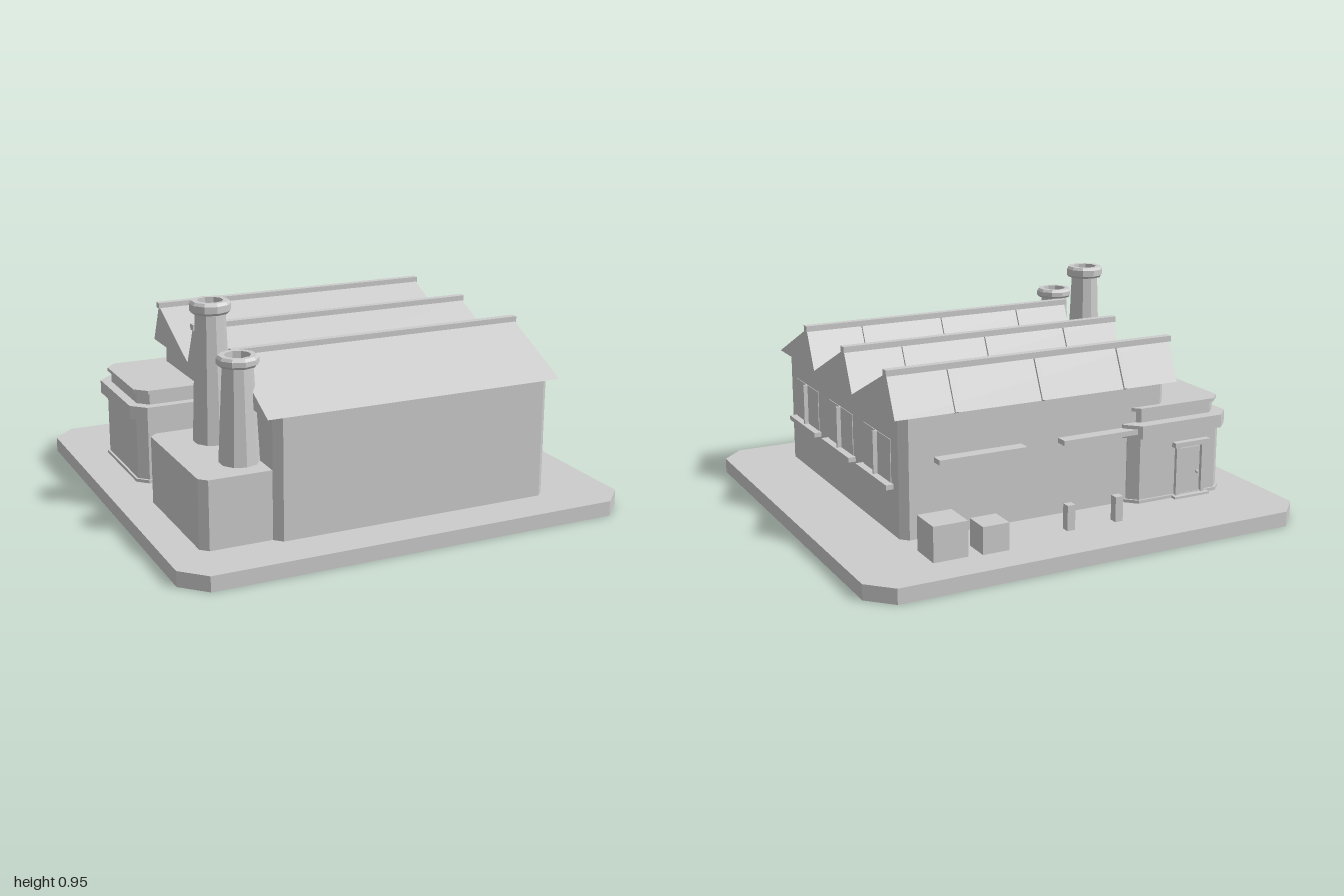
import * as THREE from 'three';

const GROUND = 0.066;

export function createModel() {
  const model = new THREE.Group();
  const grey = new THREE.MeshStandardMaterial({ color: 0xcccccc, flatShading: true, side: THREE.DoubleSide });
  grey.name = 'concrete grey';

  const add = (name, geometry, parent = model) => {
    const mesh = new THREE.Mesh(geometry, grey);
    mesh.name = name;
    parent.add(mesh);
    return mesh;
  };

  // Box given by its extents
  const box = (name, x0, x1, y0, y1, z0, z1, parent) => {
    const g = new THREE.BoxGeometry(x1 - x0, y1 - y0, z1 - z0);
    g.translate((x0 + x1) / 2, (y0 + y1) / 2, (z0 + z1) / 2);
    return add(name, g, parent);
  };

  // Rectangle with chamfered corners c, drawn with z pointing down the page
  const outline = (x0, x1, z0, z1, c) => [
    [x0 + c, -z1], [x1 - c, -z1], [x1, -z1 + c], [x1, -z0 - c],
    [x1 - c, -z0], [x0 + c, -z0], [x0, -z0 - c], [x0, -z1 + c],
  ].map(([x, y]) => new THREE.Vector2(x, y));

  // Upright block with chamfered corners
  const block = (name, x0, x1, y0, y1, z0, z1, c, parent) => {
    const shape = new THREE.Shape(outline(x0, x1, z0, z1, c));
    const g = new THREE.ExtrudeGeometry(shape, { depth: y1 - y0, bevelEnabled: false });
    g.rotateX(-Math.PI / 2).translate(0, y0, 0);
    return add(name, g, parent);
  };

  // Upright wall of no thickness round a chamfered outline, open above and below
  const skirt = (name, x0, x1, y0, y1, z0, z1, c, parent) => {
    const pts = outline(x0, x1, z0, z1, c);
    const pos = [], index = [];
    pts.forEach((p, i) => {
      pos.push(p.x, y0, -p.y, p.x, y1, -p.y);
      const a = 2 * i, b = 2 * ((i + 1) % pts.length);
      index.push(a, b, b + 1, a, b + 1, a + 1);
    });
    const g = new THREE.BufferGeometry();
    g.setAttribute('position', new THREE.Float32BufferAttribute(pos, 3));
    g.setIndex(index);
    g.computeVertexNormals();
    return add(name, g, parent);
  };

  // Ground slab: a tray open underneath
  const slab = new THREE.Group();
  slab.name = 'groundSlab';
  model.add(slab);
  const top = new THREE.ShapeGeometry(new THREE.Shape(outline(-1, 1, -0.955, 0.955, 0.1)));
  add('slabTop', top.rotateX(-Math.PI / 2).translate(0, GROUND - 0.001, 0), slab);
  skirt('slabSides', -1, 1, 0, GROUND - 0.001, -0.955, 0.955, 0.1, slab);
  skirt('officeFooting', -0.84, -0.35, 0, 0.025, -0.585, -0.07, 0.045, slab);
  box('stepFooting', -0.745, -0.565, 0, 0.025, -0.612, -0.57, slab);

  // Main hall
  block('hallWalls', -0.555, 0.693, GROUND, 0.583, -0.531, 0.772, 0.032);

  // Sawtooth roof
  const roof = new THREE.Group();
  roof.name = 'sawtoothRoof';
  model.add(roof);
  const eave = 0.58, ridge = 0.754, period = 0.4475, rise = 0.3675, drop = period - rise;
  const tilt = Math.atan2(drop, ridge - eave);
  const slope = Math.hypot(drop, ridge - eave);
  for (let i = 0; i < 3; i++) {
    const z0 = 0.787 - i * period, zr = z0 - rise, z1 = zr - drop;
    const tooth = new THREE.Shape([[-z0, eave], [-z1, eave], [-zr, ridge]].map(([a, b]) => new THREE.Vector2(a, b)));
    const g = new THREE.ExtrudeGeometry(tooth, { depth: 1.32, bevelEnabled: false });
    g.rotateY(Math.PI / 2).translate(-0.592, 0, 0);
    add('roofTooth', g, roof);
    box('ridgeCap', -0.597, 0.735, 0.745, 0.77, zr - 0.018, zr + 0.015, roof);
    // Glazing bars on the steep back face
    for (const x of [-0.33, 0.065, 0.46]) {
      const bar = add('glazingBar', new THREE.BoxGeometry(0.016, slope, 0.02), roof);
      bar.position.set(x, (eave + ridge) / 2, (zr + z1) / 2);
      bar.rotation.x = tilt;
    }
  }

  // Side windows: pane, centre bar and sill
  for (const z of [0.53, 0.118, -0.288]) {
    const win = new THREE.Group();
    win.name = 'sideWindow';
    model.add(win);
    box('windowPane', 0.69, 0.696, 0.28, 0.468, z - 0.14, z + 0.14, win);
    box('windowBar', 0.69, 0.715, 0.28, 0.468, z - 0.006, z + 0.006, win);
    box('windowSill', 0.685, 0.727, 0.264, 0.285, z - 0.163, z + 0.163, win);
  }

  // Back wall sills, with matching strips under the slab
  for (const x of [-0.218, 0.353]) {
    box('backSill', x - 0.198, x + 0.198, 0.38, 0.402, -0.586, -0.525);
    box('footingStrip', x - 0.18, x + 0.18, 0, 0.02, -0.537, -0.53, slab);
  }

  // Boiler house carrying the chimneys
  block('boilerHouse', -0.853, -0.5, GROUND, 0.357, 0.119, 0.738, 0.032);

  const chimney = (name, z, height, capHeight) => {
    const neck = height - capHeight;
    const profile = [
      [0.083, 0.35], [0.062, neck], [0.077, neck], [0.085, neck + 0.01], [0.085, height - 0.012],
      [0.076, height], [0.054, height], [0.054, height - 0.05], [0, height - 0.05],
    ].map(([r, y]) => new THREE.Vector2(r, y));
    add(name, new THREE.LatheGeometry(profile, 10)).position.set(-0.632, 0, z);
  };
  chimney('tallChimney', 0.295, 0.949, 0.05);
  chimney('shortChimney', 0.585, 0.794, 0.042);

  // Office with stepped flat roof
  const office = new THREE.Group();
  office.name = 'office';
  model.add(office);
  block('officePlinth', -0.84, -0.35, GROUND, 0.08, -0.585, -0.07, 0.045, office);
  block('officeWalls', -0.83, -0.36, GROUND, 0.37, -0.576, -0.08, 0.04, office);
  block('officeCanopy', -0.86, -0.335, 0.36, 0.418, -0.602, -0.05, 0.06, office);
  block('officeUpper', -0.82, -0.375, 0.415, 0.475, -0.548, -0.09, 0.045, office);
  block('officeRoof', -0.835, -0.36, 0.469, 0.484, -0.561, -0.078, 0.05, office);

  // Office door
  const door = new THREE.Group();
  door.name = 'door';
  model.add(door);
  const dx = -0.655;
  box('doorStep', dx - 0.09, dx + 0.09, GROUND, 0.076, -0.612, -0.57, door);
  box('doorHood', dx - 0.09, dx + 0.09, 0.296, 0.318, -0.604, -0.57, door);
  for (const s of [-1, 1]) {
    const x = dx + s * 0.066;
    box('doorPost', x - 0.009, x + 0.009, GROUND, 0.3, -0.592, -0.57, door);
  }
  box('doorLeaf', dx - 0.05, dx + 0.05, GROUND, 0.285, -0.582, -0.57, door);
  const knob = add('doorKnob', new THREE.SphereGeometry(0.008, 8, 6), door);
  knob.position.set(dx - 0.036, 0.17, -0.588);

  // Yard crates and bollards
  box('largeCrate', 0.529, 0.679, GROUND, 0.215, -0.794, -0.644);
  box('smallCrate', 0.354, 0.471, GROUND, 0.182, -0.806, -0.69);
  for (const x of [-0.202, 0.028]) box('bollard', x - 0.018, x + 0.018, GROUND, 0.175, -0.731, -0.694);

  return model;
}
